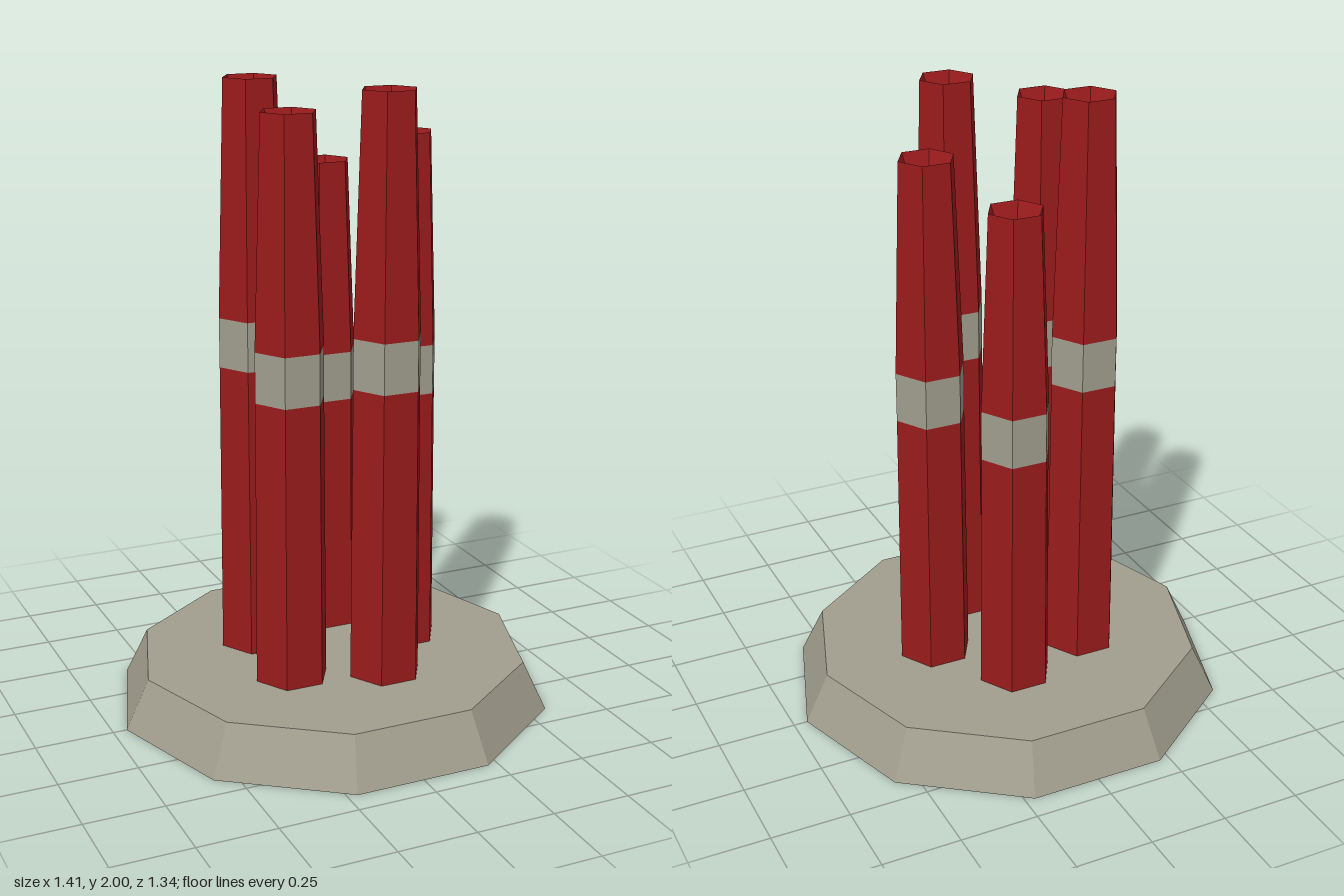
import * as THREE from 'three';

const red = new THREE.MeshStandardMaterial({ color: 0x9a1b1c, flatShading: true });
red.name = 'deep red';
const stone = new THREE.MeshStandardMaterial({ color: 0xa19e8e, flatShading: true, side: THREE.DoubleSide });
stone.name = 'stone grey';

const BASE_TOP = 0.157;
const R_FOOT = 0.119, R_BAND = 0.113, R_TOP = 0.088;

// Faceted surface of revolution with a corner on +x; points are [radius, height]
function faceted(name, points, sides, material) {
  const profile = points.map(([r, y]) => new THREE.Vector2(r, y));
  const mesh = new THREE.Mesh(new THREE.LatheGeometry(profile, sides, Math.PI / 2), material);
  mesh.name = name;
  return mesh;
}

// Tapered hexagonal column with a grey band and a hollow pointed pit in its top
function column(index, top) {
  const group = new THREE.Group();
  group.name = 'column' + (index + 1);
  const middle = BASE_TOP + (top - BASE_TOP) * 0.556;
  const low = middle - 0.079, high = middle + 0.079;
  group.add(
    faceted('lowerShaft', [[R_FOOT, BASE_TOP], [R_BAND, low]], 6, red),
    faceted('band', [[R_BAND, low], [R_BAND, high]], 6, stone),
    faceted('upperShaft', [[R_BAND, high], [R_TOP, top], [0, top - 0.23]], 6, red)
  );
  return group;
}

export function createModel() {
  const model = new THREE.Group();
  model.name = 'columnCluster';

  // Ten-sided plinth, a thin shell open underneath
  model.add(faceted('plinth', [[0.706, 0], [0.63, BASE_TOP], [0, BASE_TOP]], 10, stone));

  // Five columns in a ring, starting on +x and turning towards +z
  [1.83, 1.99, 1.93, 2.0, 1.72].forEach((top, i) => {
    const angle = (i / 5) * Math.PI * 2;
    const col = column(i, top);
    col.position.set(0.251 * Math.cos(angle), 0, 0.251 * Math.sin(angle));
    model.add(col);
  });
  return model;
}
